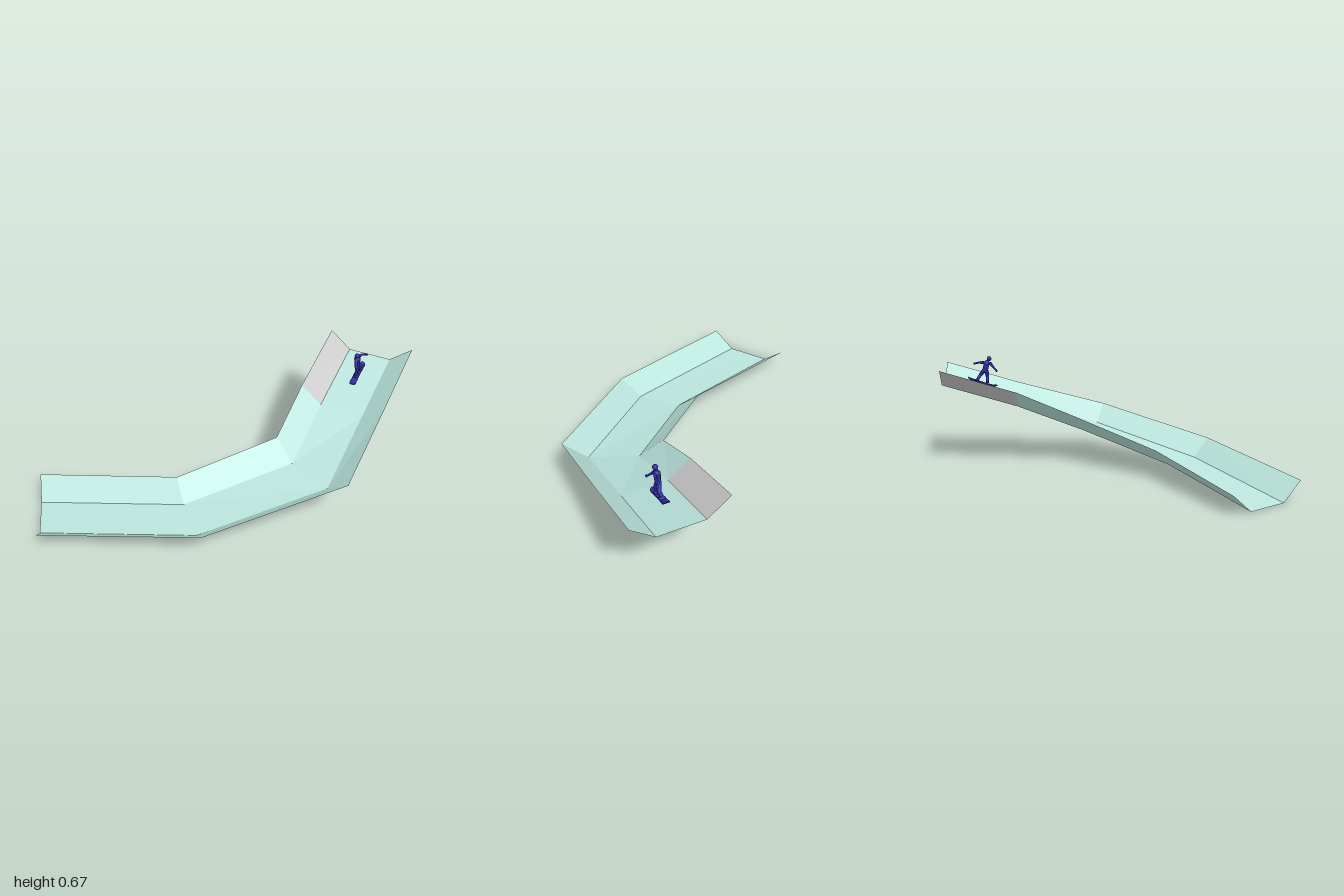
import * as THREE from 'three';

const mint = new THREE.MeshStandardMaterial({ color: 0xbce6de, side: THREE.DoubleSide, flatShading: true });
const grey = new THREE.MeshStandardMaterial({ color: 0xcccccc, side: THREE.DoubleSide, flatShading: true });
const blue = new THREE.MeshStandardMaterial({ color: 0x2a2a99 });

// Chute stations: floor height, rim height, then [x, z] of inner rim, inner floor, outer floor, outer rim
const stations = [
  { floor: 0.5, rim: 0.605, pts: [[0.335, -1], [0.465, -1], [0.73, -1], [0.86, -1]] },
  { floor: 0.36, rim: 0.465, pts: [[0.335, -0.53], [0.465, -0.53], [0.73, -0.53], [0.86, -0.53]] },
  { floor: 0.2, rim: 0.31, pts: [[0.335, -0.17], [0.465, -0.115], [0.73, 0], [0.862, 0.05]] },
  { floor: 0.07, rim: 0.175, pts: [[-0.09, 0.28], [0, 0.37], [0.185, 0.56], [0.27, 0.66]] },
  { floor: 0, rim: 0.105, pts: [[-0.865, 0.56], [-0.793, 0.67], [-0.645, 0.885], [-0.575, 0.995]] },
];

// One lengthwise strip of the chute between cross-section points k and k + 1
function strip(name, k, from, to, material) {
  const pos = [], index = [];
  for (let i = from; i <= to; i++) {
    const s = stations[i];
    for (const j of [k, k + 1]) {
      pos.push(s.pts[j][0], j === 0 || j === 3 ? s.rim : s.floor, s.pts[j][1]);
    }
    if (i < to) {
      const a = (i - from) * 2;
      index.push(a, a + 2, a + 1, a + 1, a + 2, a + 3);
    }
  }
  const geo = new THREE.BufferGeometry();
  geo.setAttribute('position', new THREE.Float32BufferAttribute(pos, 3));
  geo.setIndex(index);
  geo.computeVertexNormals();
  const mesh = new THREE.Mesh(geo, material);
  mesh.name = name;
  return mesh;
}

const v = (p) => new THREE.Vector3(...p);

// Tapered limb segment from a to b, with a rounded joint at the far end
function limb(name, a, b, r1, r2) {
  const group = new THREE.Group();
  group.name = name;
  const start = v(a), end = v(b), dir = end.clone().sub(start);
  const bone = new THREE.Mesh(new THREE.CylinderGeometry(r2, r1, dir.length(), 12), blue);
  bone.position.copy(start).add(end).multiplyScalar(0.5);
  bone.quaternion.setFromUnitVectors(new THREE.Vector3(0, 1, 0), dir.normalize());
  group.add(bone, ball('joint', b, r2));
  return group;
}

function ball(name, p, r, sx = 1, sy = 1, sz = 1) {
  const mesh = new THREE.Mesh(new THREE.SphereGeometry(r, 16, 12), blue);
  mesh.name = name;
  mesh.position.copy(v(p));
  mesh.scale.set(sx, sy, sz);
  return mesh;
}

// Round-ended board along z with upturned tips
function board() {
  const r = 0.02, h = 0.078;
  const shape = new THREE.Shape();
  shape.absarc(0, h, r, 0, Math.PI);
  shape.quadraticCurveTo(-r * 0.75, 0, -r, -h);
  shape.absarc(0, -h, r, Math.PI, Math.PI * 2);
  shape.quadraticCurveTo(r * 0.75, 0, r, h);
  const geo = new THREE.ExtrudeGeometry(shape, { depth: 0.005, bevelEnabled: false, curveSegments: 10 });
  geo.rotateX(-Math.PI / 2);
  const p = geo.attributes.position;
  for (let i = 0; i < p.count; i++) {
    const over = Math.max(0, Math.abs(p.getZ(i)) - 0.07);
    p.setY(i, p.getY(i) + over * over * 12);
  }
  geo.computeVertexNormals();
  const mesh = new THREE.Mesh(geo, blue);
  mesh.name = 'board';
  mesh.position.set(0.604, 0.494, -0.755);
  mesh.rotation.x = 0.29;
  return mesh;
}

function rider() {
  const g = new THREE.Group();
  g.name = 'rider';
  g.add(board());

  // Legs and boots
  const legs = [
    { hip: [0.603, 0.572, -0.727], knee: [0.612, 0.536, -0.722], foot: [0.602, 0.5, -0.722] },
    { hip: [0.603, 0.572, -0.745], knee: [0.612, 0.543, -0.768], foot: [0.602, 0.515, -0.787] },
  ];
  for (const { hip, knee, foot } of legs) {
    g.add(limb('thigh', hip, knee, 0.014, 0.011));
    g.add(limb('shin', knee, foot, 0.011, 0.009));
    g.add(ball('boot', [foot[0] + 0.004, foot[1], foot[2]], 0.011, 1.7, 0.8, 1));
  }

  // Torso, neck and head
  g.add(ball('hips', [0.603, 0.575, -0.736], 0.019, 0.85, 0.9, 1.1));
  const torso = limb('torso', [0.603, 0.572, -0.736], [0.603, 0.622, -0.724], 0.016, 0.019);
  g.add(torso);
  g.add(ball('shoulders', [0.603, 0.622, -0.724], 0.02, 0.75, 0.7, 1.25));
  g.add(limb('neck', [0.603, 0.625, -0.722], [0.604, 0.645, -0.711], 0.008, 0.007));
  g.add(ball('head', [0.604, 0.651, -0.708], 0.015, 1, 1.05, 0.95));

  // Outstretched arms
  const arms = [
    { shoulder: [0.603, 0.623, -0.704], elbow: [0.612, 0.594, -0.683], hand: [0.634, 0.568, -0.663] },
    { shoulder: [0.603, 0.627, -0.744], elbow: [0.612, 0.625, -0.776], hand: [0.636, 0.616, -0.805] },
  ];
  for (const { shoulder, elbow, hand } of arms) {
    g.add(limb('upperArm', shoulder, elbow, 0.01, 0.007));
    g.add(limb('forearm', elbow, hand, 0.007, 0.005));
    g.add(ball('hand', hand, 0.007));
  }
  return g;
}

export function createModel() {
  const model = new THREE.Group();
  model.name = 'rampWithRider';
  const chute = new THREE.Group();
  chute.name = 'chute';
  chute.add(
    strip('innerWallTop', 0, 0, 1, grey),
    strip('innerWall', 0, 1, 4, mint),
    strip('floor', 1, 0, 4, mint),
    strip('outerWall', 2, 0, 4, mint),
  );
  // Keep facets crisp at each bend
  chute.children.forEach((m) => {
    m.geometry = m.geometry.toNonIndexed();
    m.geometry.computeVertexNormals();
  });
  model.add(chute, rider());
  return model;
}
